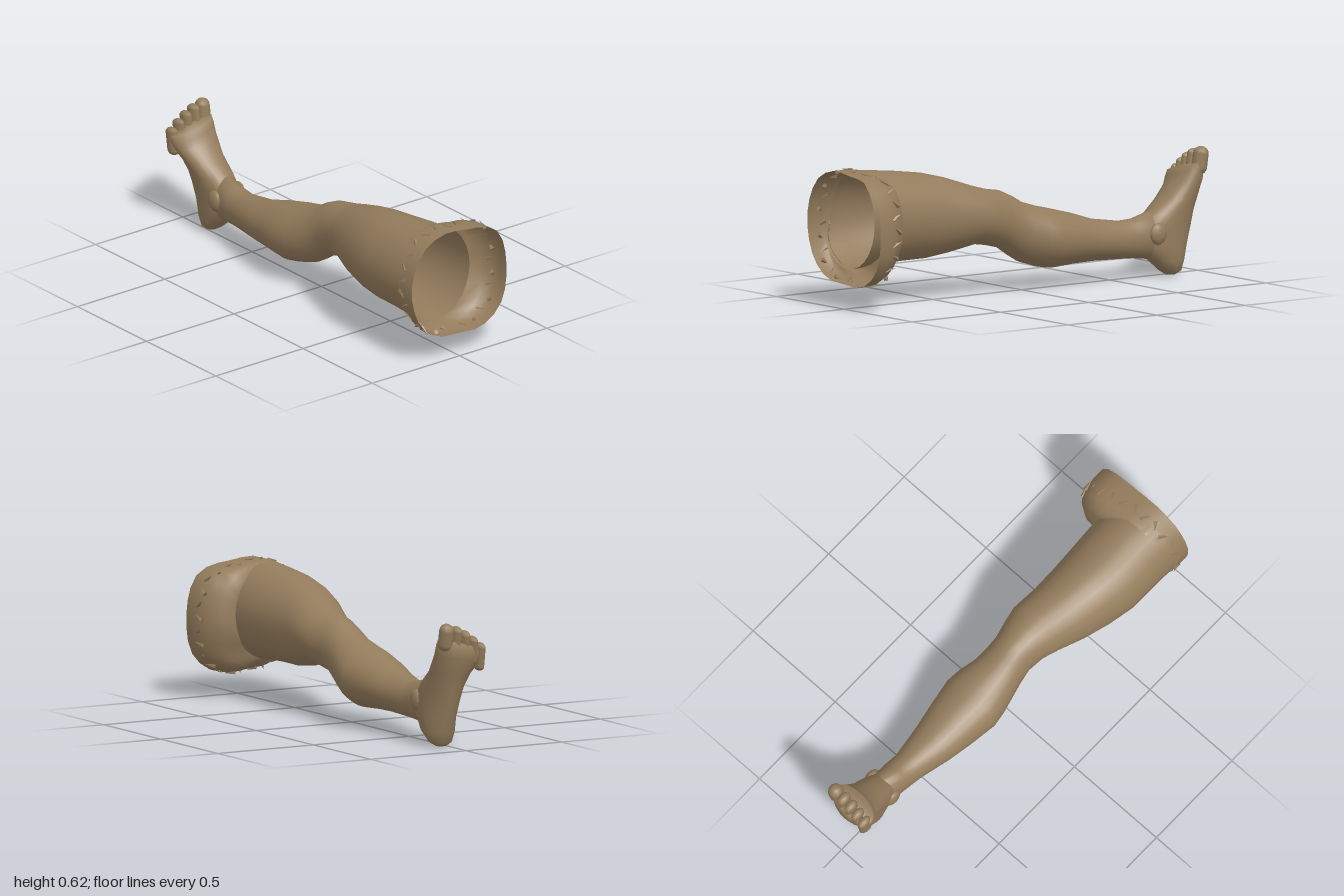
import * as THREE from 'three';

const SEG = 28;

// Skin closed rings of points into one smooth surface
function loft(rings) {
  const n = rings[0].length, pos = [], idx = [];
  rings.forEach(r => r.forEach(p => pos.push(p.x, p.y, p.z)));
  for (let i = 0; i < rings.length - 1; i++) {
    for (let j = 0; j < n; j++) {
      const a = i * n + j, b = i * n + (j + 1) % n;
      idx.push(a, a + n, b, b, a + n, b + n);
    }
  }
  const g = new THREE.BufferGeometry();
  g.setAttribute('position', new THREE.Float32BufferAttribute(pos, 3));
  g.setIndex(idx);
  g.computeVertexNormals();
  return g;
}

// Ring of SEG points built from a function of the angle
const ring = f => Array.from({ length: SEG }, (_, j) => f(j / SEG * Math.PI * 2));

// Upright oval across the leg at x, between two heights and two depths
const legRing = ([x, y0, y1, z0, z1]) => ring(a => new THREE.Vector3(
  x, (y0 + y1) / 2 + (y1 - y0) / 2 * Math.cos(a), (z0 + z1) / 2 - (z1 - z0) / 2 * Math.sin(a)));

// Level oval through the foot; the upper rings drop toward the small toe
const footRing = ([y, x0, x1, z0, z1]) => ring(a => {
  const z = (z0 + z1) / 2 + (z1 - z0) / 2 * Math.sin(a);
  const tilt = THREE.MathUtils.smoothstep(y, 0.3, 0.45) * 0.25;
  return new THREE.Vector3((x0 + x1) / 2 + (x1 - x0) / 2 * Math.cos(a), y - tilt * z, z);
});

export function createModel() {
  const skin = new THREE.MeshStandardMaterial({ color: 0x947c5c, side: THREE.DoubleSide });
  skin.name = 'skin';
  const model = new THREE.Group();
  model.name = 'leg';
  const add = (name, geometry, parent = model) => {
    const m = new THREE.Mesh(geometry, skin);
    m.name = name;
    parent.add(m);
    return m;
  };

  // Thigh, knee, calf and ankle: x, bottom, top, back, front
  const legStations = [
    [-0.78, 0.12, 0.24, -0.06, 0.03],
    [-0.70, 0.08, 0.295, -0.085, 0.05],
    [-0.62, 0.09, 0.27, -0.085, 0.06],
    [-0.55, 0.092, 0.265, -0.08, 0.07],
    [-0.40, 0.096, 0.287, -0.10, 0.11],
    [-0.28, 0.094, 0.325, -0.12, 0.135],
    [-0.15, 0.086, 0.358, -0.14, 0.155],
    [-0.08, 0.10, 0.375, -0.13, 0.147],
    [0.00, 0.125, 0.40, -0.105, 0.13],
    [0.06, 0.16, 0.435, -0.095, 0.12],
    [0.12, 0.20, 0.462, -0.092, 0.115],
    [0.20, 0.22, 0.475, -0.11, 0.127],
    [0.27, 0.23, 0.495, -0.122, 0.155],
    [0.40, 0.20, 0.54, -0.11, 0.205],
    [0.52, 0.182, 0.57, -0.11, 0.24],
    [0.65, 0.18, 0.588, -0.115, 0.268],
    [0.80, 0.175, 0.605, -0.122, 0.27],
    [0.92, 0.165, 0.615, -0.12, 0.272],
  ];
  add('legSurface', loft(legStations.map(legRing)));

  // Foot from heel to ball: height, sole, instep, back, front
  const footStations = [
    [0.00, -0.825, -0.825, -0.025, -0.025],
    [0.002, -0.845, -0.80, -0.05, 0.0],
    [0.02, -0.87, -0.77, -0.08, 0.025],
    [0.07, -0.885, -0.71, -0.10, 0.045],
    [0.14, -0.905, -0.65, -0.10, 0.05],
    [0.22, -0.93, -0.64, -0.10, 0.06],
    [0.28, -0.945, -0.69, -0.10, 0.07],
    [0.34, -0.965, -0.77, -0.10, 0.085],
    [0.41, -0.99, -0.84, -0.107, 0.11],
    [0.45, -0.993, -0.86, -0.107, 0.12],
    [0.48, -0.985, -0.875, -0.10, 0.115],
    [0.49, -0.93, -0.93, 0.005, 0.005],
  ];
  add('foot', loft(footStations.map(footRing)));

  // Ankle bones
  for (const [z, y] of [[0.045, 0.19], [-0.085, 0.2]]) {
    const bone = add('ankleBone', new THREE.SphereGeometry(1, 12, 8));
    bone.scale.set(0.045, 0.05, 0.025);
    bone.position.set(-0.71, y, z);
  }

  // Toes: depth, radius, tip height, big toe first
  const toes = new THREE.Group();
  toes.name = 'toes';
  model.add(toes);
  for (const [z, r, tip] of [
    [-0.077, 0.034, 0.577], [-0.026, 0.023, 0.562], [0.017, 0.022, 0.54],
    [0.058, 0.021, 0.512], [0.097, 0.021, 0.48],
  ]) {
    const toe = add('toe', new THREE.CapsuleGeometry(r, 0.13 - 2 * r, 4, 10), toes);
    toe.scale.x = 0.036 / r;
    toe.rotation.z = 0.15;
    toe.position.set(-0.952, tip - 0.065, z);
  }

  // Flared open cuff at the hip; rim outline as [depth, height] from the top toward the back
  const rimCurve = new THREE.CatmullRomCurve3([
    [0.08, 0.618], [-0.03, 0.608], [-0.15, 0.59], [-0.21, 0.558], [-0.25, 0.49], [-0.268, 0.38],
    [-0.265, 0.29], [-0.245, 0.21], [-0.19, 0.145], [-0.11, 0.108], [0.0, 0.113], [0.1, 0.12],
    [0.16, 0.145], [0.22, 0.2], [0.26, 0.285], [0.274, 0.39], [0.25, 0.49], [0.19, 0.575],
  ].map(([z, y]) => new THREE.Vector3(1, y, z)), true);
  const rim = rimCurve.getSpacedPoints(SEG).slice(0, SEG);
  const base = legRing([0, 0.172, 0.607, -0.122, 0.271]);
  const seamX = p => 0.865 - 0.05 * THREE.MathUtils.smoothstep(-p.z, -0.05, 0.2)
    + 0.04 * THREE.MathUtils.smoothstep(0.36 - p.y, 0, 0.22);
  const cuffPoint = (j, t, u) => {
    const p = base[j].clone().lerp(rim[j], t);
    p.x = THREE.MathUtils.lerp(seamX(rim[j]), 1, u);
    return p;
  };
  const cuffProfile = [[0, 0], [0.5, 0.03], [0.82, 0.2], [0.97, 0.5], [1, 0.75], [1, 1]];
  add('hipCuff', loft(cuffProfile.map(([t, u]) => rim.map((_, j) => cuffPoint(j, t, u)))));

  // Ragged stitches along the cuff seam, alternately slanted
  const stitches = new THREE.Group();
  stitches.name = 'seamStitches';
  model.add(stitches);
  const stitchGeometry = new THREE.ConeGeometry(0.012, 0.05, 4).toNonIndexed();
  stitchGeometry.computeVertexNormals();
  const up = new THREE.Vector3(0, 1, 0);
  for (let j = 0; j < SEG; j++) {
    const p = cuffPoint(j, 0.97, 0.45);
    const out = new THREE.Vector3(0, p.y - 0.36, p.z).normalize();
    const side = new THREE.Vector3(0, -out.z, out.y);
    const s = j % 2 ? 1 : -1;
    const dir = new THREE.Vector3(-0.8 * s, 0, 0).addScaledVector(side, 0.5).addScaledVector(out, 0.3);
    const stitch = add('stitch', stitchGeometry, stitches);
    stitch.position.copy(p);
    stitch.quaternion.setFromUnitVectors(up, dir.normalize());
  }
  return model;
}
